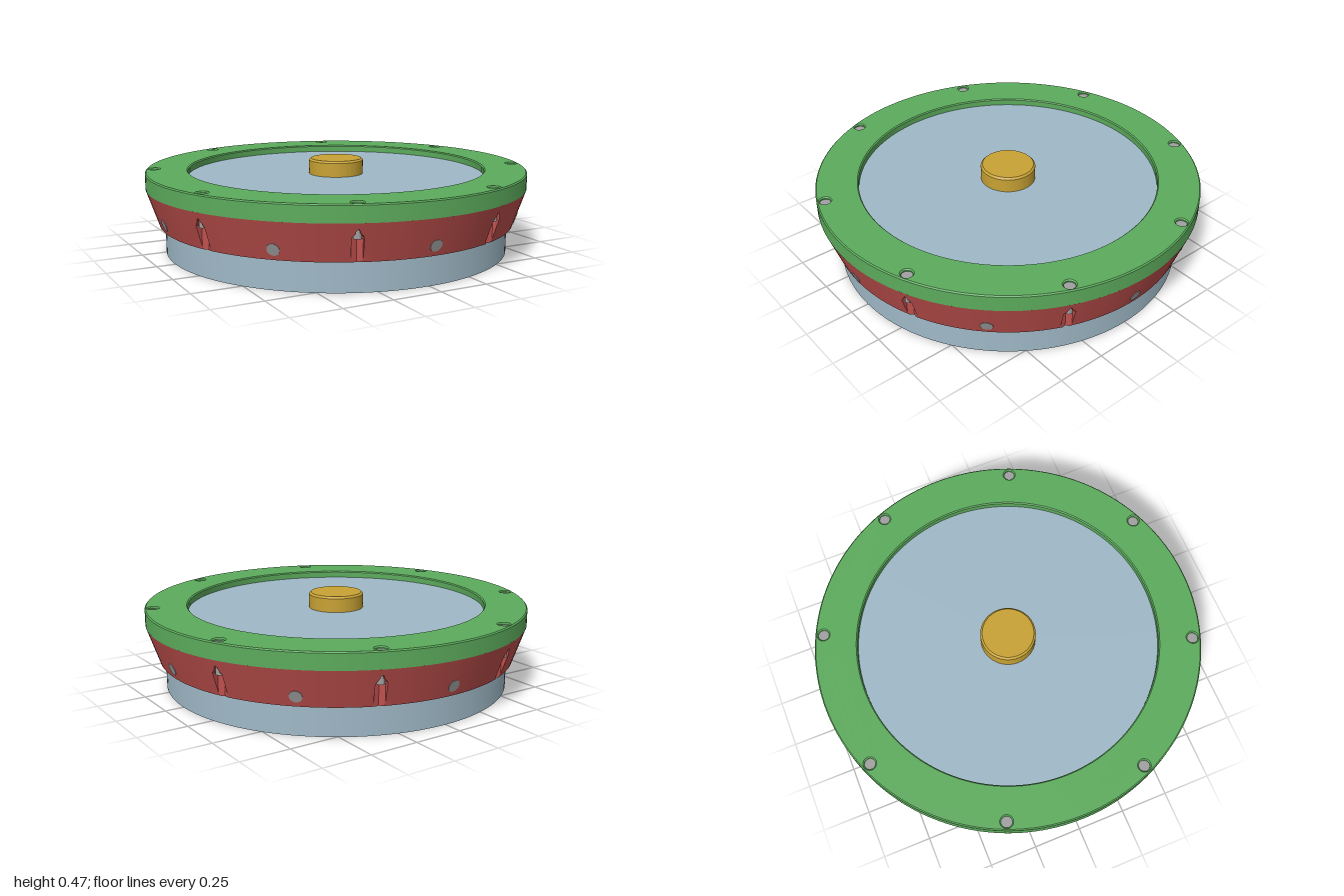
import * as THREE from 'three';
import { toCreasedNormals } from 'three/addons/utils/BufferGeometryUtils.js';

const mat = (name, color, side = THREE.FrontSide) => {
  const m = new THREE.MeshStandardMaterial({ color, side });
  m.name = name;
  return m;
};
const SEG = 128;
const HEX_R = 0.032;    // nut pocket size
const BOLT_R = 0.957;   // radius of the vertical bolt circle
const coneR = (y) => 0.935 + (y - 0.15) * (0.065 / 0.19);

// Closed ring or solid turned from [radius, height] points, counterclockwise
const turned = (points) => toCreasedNormals(
  new THREE.LatheGeometry(points.map(([r, y]) => new THREE.Vector2(r, y)), SEG), 0.5);

// Outer radius of the flared ring, cut back where a hexagonal pocket meets it
function flareRadius(offset, y) {
  const x = Math.abs(BOLT_R * Math.tan(offset));
  const cone = coneR(y);
  if (x > HEX_R * 0.866) return cone;
  const reach = HEX_R - x / Math.sqrt(3);
  return cone < BOLT_R + reach ? Math.min(cone, BOLT_R - reach) : cone;
}

function flaredRingGeometry() {
  const half = Math.asin(HEX_R * 0.866 / BOLT_R);
  const offsets = [];
  for (let i = 0; i <= 12; i++) offsets.push((i / 6 - 1) * (half - 0.0002));
  for (let i = 0; i <= 14; i++) {
    offsets.push(half + 0.0002 + (i / 14) * (Math.PI / 4 - 2 * half - 0.0004));
  }
  const rows = 32, pos = [], idx = [];
  const put = (a, r, y) => pos.push(r * Math.sin(a), y, r * Math.cos(a));
  for (let k = 0; k < 8; k++) {
    for (const o of offsets) {
      const a = Math.PI / 8 + k * Math.PI / 4 + o;
      const local = o > Math.PI / 8 ? o - Math.PI / 4 : o;
      put(a, 0.776, 0.34);
      put(a, 0.776, 0.265);
      put(a, 0.9, 0.265);
      put(a, 0.9, 0.15);
      for (let j = 0; j <= rows; j++) {
        const y = 0.15 + 0.19 * j / rows;
        put(a, flareRadius(local, y), y);
      }
    }
  }
  const n = rows + 5, columns = 8 * offsets.length;
  for (let i = 0; i < columns; i++) {
    const a = i * n, b = ((i + 1) % columns) * n;
    for (let j = 0; j < n; j++) {
      const k = (j + 1) % n;
      idx.push(a + j, b + j, b + k, a + j, b + k, a + k);
    }
  }
  const g = new THREE.BufferGeometry();
  g.setAttribute('position', new THREE.Float32BufferAttribute(pos, 3));
  g.setIndex(idx);
  return toCreasedNormals(g, 0.5);
}

// Flat ring with chamfered top edges and eight bolt holes
function topRingGeometry() {
  const bevel = 0.006;
  const shape = new THREE.Shape().absarc(0, 0, 1 - bevel, 0, Math.PI * 2);
  const hole = (x, y, r) => shape.holes.push(new THREE.Path().absarc(x, y, r, 0, Math.PI * 2, true));
  hole(0, 0, 0.78 + bevel);
  for (let k = 0; k < 8; k++) {
    const a = Math.PI / 8 + k * Math.PI / 4;
    hole(BOLT_R * Math.sin(a), BOLT_R * Math.cos(a), 0.034);
  }
  const g = new THREE.ExtrudeGeometry(shape, {
    depth: 0.085 - 2 * bevel, bevelEnabled: true, bevelSize: bevel,
    bevelThickness: bevel, bevelSegments: 1, curveSegments: 72,
  });
  g.rotateX(-Math.PI / 2).translate(0, 0.34 + bevel, 0);
  // Square off the lower outer edge
  const p = g.attributes.position;
  for (let i = 0; i < p.count; i++) {
    const r = Math.hypot(p.getX(i), p.getZ(i));
    if (r > 0.992 && p.getY(i) < 0.36) p.setXYZ(i, p.getX(i) / r, p.getY(i), p.getZ(i) / r);
  }
  return toCreasedNormals(g, 0.5);
}

export function createModel() {
  const blue = mat('blue grey', 0x9fb9c7);
  const red = mat('red', 0xbf504d);
  const green = mat('green', 0x5cab5c);
  const gold = mat('gold', 0xc8a234);
  const goldThin = gold.clone();
  goldThin.side = THREE.DoubleSide;
  const grey = mat('grey', 0xa0a0a0);

  const model = new THREE.Group();
  const add = (name, geometry, material, parent = model) => {
    const m = new THREE.Mesh(geometry, material);
    m.name = name;
    parent.add(m);
    return m;
  };

  // Main rings and plate
  add('baseRing', turned([[0.865, 0.264], [0.865, 0], [0.905, 0], [0.905, 0.264], [0.865, 0.264]]), blue);
  add('flaredRing', flaredRingGeometry(), red);
  add('topRing', topRingGeometry(), green);
  add('plate', turned([[0, 0.341], [0.785, 0.341], [0.785, 0.388], [0, 0.388]]), blue);

  // Centre knob and the split clip beneath it
  add('knob', turned([[0, 0.38], [0.143, 0.38], [0.143, 0.46], [0.133, 0.47], [0, 0.47]]), gold);
  const clip = new THREE.Group();
  clip.name = 'clip';
  model.add(clip);
  const prong = [[0.075, 0.342], [0.045, 0.26], [0.064, 0.26], [0.1, 0.32], [0.1, 0.342], [0.075, 0.342]]
    .map(([r, y]) => new THREE.Vector2(r, y));
  const gap = 0.16;
  for (let k = 0; k < 4; k++) {
    const start = k * Math.PI / 2 + gap, span = Math.PI / 2 - 2 * gap;
    add('clipProng', toCreasedNormals(new THREE.LatheGeometry(prong, 12, start, span), 0.5), goldThin, clip);
    for (const a of [start, start + span]) {
      const cap = add('clipProngEnd', new THREE.ShapeGeometry(new THREE.Shape(prong)), goldThin, clip);
      cap.rotation.y = a - Math.PI / 2;
    }
  }

  // Eight radial bolts with blocks, and eight vertical bolts between them
  for (let k = 0; k < 8; k++) {
    const radial = new THREE.Group();
    radial.name = 'radialBolt';
    radial.rotation.y = k * Math.PI / 4;
    model.add(radial);
    add('block', new THREE.BoxGeometry(0.135, 0.115, 0.065), gold, radial).position.set(0, 0.207, 0.8425);
    const shank = add('shank', new THREE.CylinderGeometry(0.03, 0.03, 0.128, 24), grey, radial);
    shank.rotation.x = Math.PI / 2;
    shank.position.set(0, 0.203, 0.872);
    const head = add('boltHead', new THREE.CylinderGeometry(0.031, 0.031, 0.008, 24), grey, radial);
    head.rotation.x = Math.PI / 2 + Math.atan(0.065 / 0.19);
    head.position.set(0, 0.203, coneR(0.203) - 0.002);

    const vertical = new THREE.Group();
    vertical.name = 'verticalBolt';
    vertical.rotation.y = Math.PI / 8 + k * Math.PI / 4;
    model.add(vertical);
    add('boltTop', new THREE.CylinderGeometry(0.033, 0.033, 0.068, 24), grey, vertical).position.set(0, 0.379, BOLT_R);
    add('boltEnd', new THREE.CylinderGeometry(0.019, 0.019, 0.085, 16), grey, vertical).position.set(0, 0.305, BOLT_R);
  }
  return model;
}
